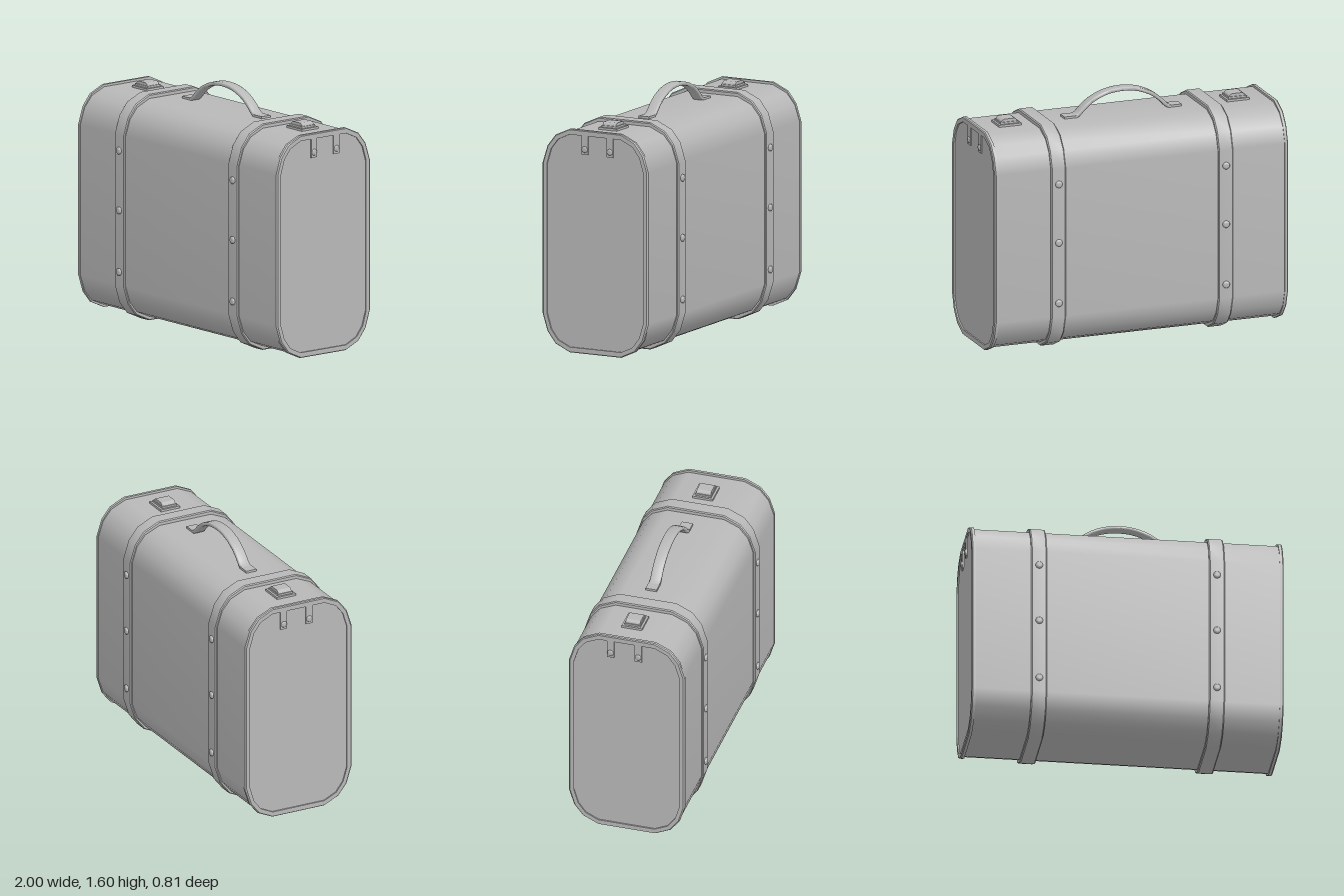
import * as THREE from 'three';
import { toCreasedNormals } from 'three/addons/utils/BufferGeometryUtils.js';

const CY = 0.7285; // mid height of the case
const FEATURE_Z = -0.015; // fittings sit slightly behind the middle

// Rounded-rectangle loop in [z, y]; insets shrink it while keeping the flats
function loopPoints(insetZ, insetY) {
  const corner = [[0, 1], [0.52, 0.8], [0.82, 0.48], [1, 0]];
  const pts = [];
  for (const [sz, sy] of [[1, 1], [1, -1], [-1, -1], [-1, 1]]) {
    const list = sz * sy > 0 ? corner : [...corner].reverse();
    for (const [a, b] of list) {
      pts.push([sz * (0.185 + (0.206 - insetZ) * a), CY + sy * (0.485 + (0.2435 - insetY) * b)]);
    }
  }
  return pts;
}

// Joins rings [x, insetZ, insetY]; smooth around the loop, sharp between rings.
// A ring with only x collapses to the centre and closes the end.
function loft(rings) {
  const pos = [], index = [];
  const points = r => r.length > 1 ? loopPoints(r[1], r[2]) : loopPoints(0, 0).map(() => [0, CY]);
  for (let k = 0; k < rings.length - 1; k++) {
    const base = pos.length / 3;
    for (const r of [rings[k], rings[k + 1]]) {
      for (const [z, y] of points(r)) pos.push(r[0], y, z);
    }
    for (let i = 0; i < 16; i++) {
      const j = (i + 1) % 16;
      const a = base + i, b = base + j, c = base + 16 + j, d = base + 16 + i;
      index.push(a, b, c, a, c, d);
    }
  }
  const g = new THREE.BufferGeometry();
  g.setAttribute('position', new THREE.Float32BufferAttribute(pos, 3));
  g.setIndex(index);
  g.computeVertexNormals();
  return g;
}

export function createModel() {
  const model = new THREE.Group();
  model.name = 'suitcase';
  const grey = new THREE.MeshStandardMaterial({ color: 0xb8b8b8 });
  grey.name = 'plain grey';

  function add(name, geometry, x = 0, y = 0, z = 0) {
    const mesh = new THREE.Mesh(geometry, grey);
    mesh.name = name;
    mesh.position.set(x, y, z);
    model.add(mesh);
    return mesh;
  }
  const box = (name, w, h, d, x, y, z) => add(name, new THREE.BoxGeometry(w, h, d), x, y, z);

  // Main shell
  add('body', loft([[-0.975, 0.012, 0.026], [0.975, 0.012, 0.026]]));

  // Raised end rims with recessed panels
  const rim = loft([
    [0.966, 0.02, 0.035], [0.966, 0.009, 0.011], [0.984, 0.009, 0.011],
    [0.991, 0.018, 0.016], [0.991, 0.044, 0.046], [0.982, 0.044, 0.046], [0.982],
  ]);
  // Bevelled straps
  const strap = loft([
    [-0.05, 0.025, 0.04], [-0.05, 0.006, 0.006], [-0.043, 0, 0],
    [0.043, 0, 0], [0.05, 0.006, 0.006], [0.05, 0.025, 0.04],
  ]);
  // Domed rivet, axis along y
  const rivet = toCreasedNormals(new THREE.LatheGeometry(
    [[0.023, -0.01], [0.023, 0.009], [0.018, 0.014], [0.009, 0.017], [0, 0.018]]
      .map(p => new THREE.Vector2(...p)), 14), 0.9);

  // Buckle hump, extruded along z
  const humpShape = new THREE.Shape([
    [-0.056, 0], [0.056, 0], [0.05, 0.012], [0.036, 0.021], [-0.036, 0.021], [-0.05, 0.012],
  ].map(p => new THREE.Vector2(...p)));
  const hump = new THREE.ExtrudeGeometry(humpShape, { depth: 0.095, bevelEnabled: false });
  hump.translate(0, 0, -0.0475);

  for (const s of [-1, 1]) {
    const side = s > 0 ? 'left' : 'right';
    add(side + 'EndRim', rim).rotation.y = s > 0 ? 0 : Math.PI;
    add(side + 'Strap', strap, s * 0.565);

    // Strap rivets, front and back
    for (const y of [0.333, 0.73, 1.115]) {
      for (const f of [-1, 1]) {
        add(side + 'StrapRivet', rivet, s * 0.565, y, f * 0.389).rotation.x = f * Math.PI / 2;
      }
    }

    // End tabs and their rivets
    for (const t of [-1, 1]) {
      const z = FEATURE_Z + t * 0.091;
      box(side + 'EndTab', 0.016, 0.125, 0.047, s * 0.983, 1.353, z);
      const r = add(side + 'EndRivet', rivet, s * 0.985, 1.324, z);
      r.rotation.z = -s * Math.PI / 2;
      r.scale.set(0.9, 0.85, 0.9);
    }

    // Top buckle
    box(side + 'BuckleBase', 0.152, 0.024, 0.134, s * 0.77, 1.433, -0.009);
    box(side + 'BuckleFrame', 0.124, 0.022, 0.106, s * 0.77, 1.446, -0.009);
    add(side + 'BuckleHump', hump, s * 0.77, 1.455, -0.009);

    // Handle mounting plate
    box(side + 'HandlePlate', 0.088, 0.026, 0.073, s * 0.352, 1.432, -0.018);
  }

  // Arched carrying handle
  const half = [[0.33, 1.437], [0.3, 1.452], [0.26, 1.492], [0.2, 1.537], [0.11, 1.575], [0, 1.589]];
  const curve = new THREE.CatmullRomCurve3([
    ...half.map(([x, y]) => new THREE.Vector3(-x, y, 0)),
    ...half.slice(0, -1).reverse().map(([x, y]) => new THREE.Vector3(x, y, 0)),
  ]);
  const outer = [], inner = [];
  for (let i = 0; i <= 28; i++) {
    const p = curve.getPoint(i / 28), t = curve.getTangent(i / 28);
    outer.push(new THREE.Vector2(p.x, p.y));
    inner.unshift(new THREE.Vector2(p.x + t.y * 0.01, p.y - t.x * 0.01));
  }
  const handle = new THREE.ExtrudeGeometry(new THREE.Shape([...outer, ...inner]), {
    depth: 0.056, bevelThickness: 0.008, bevelSize: 0.007, bevelSegments: 2,
  });
  handle.translate(0, 0, -0.028);
  add('handle', toCreasedNormals(handle, 0.9), 0, 0, -0.018);

  return model;
}
